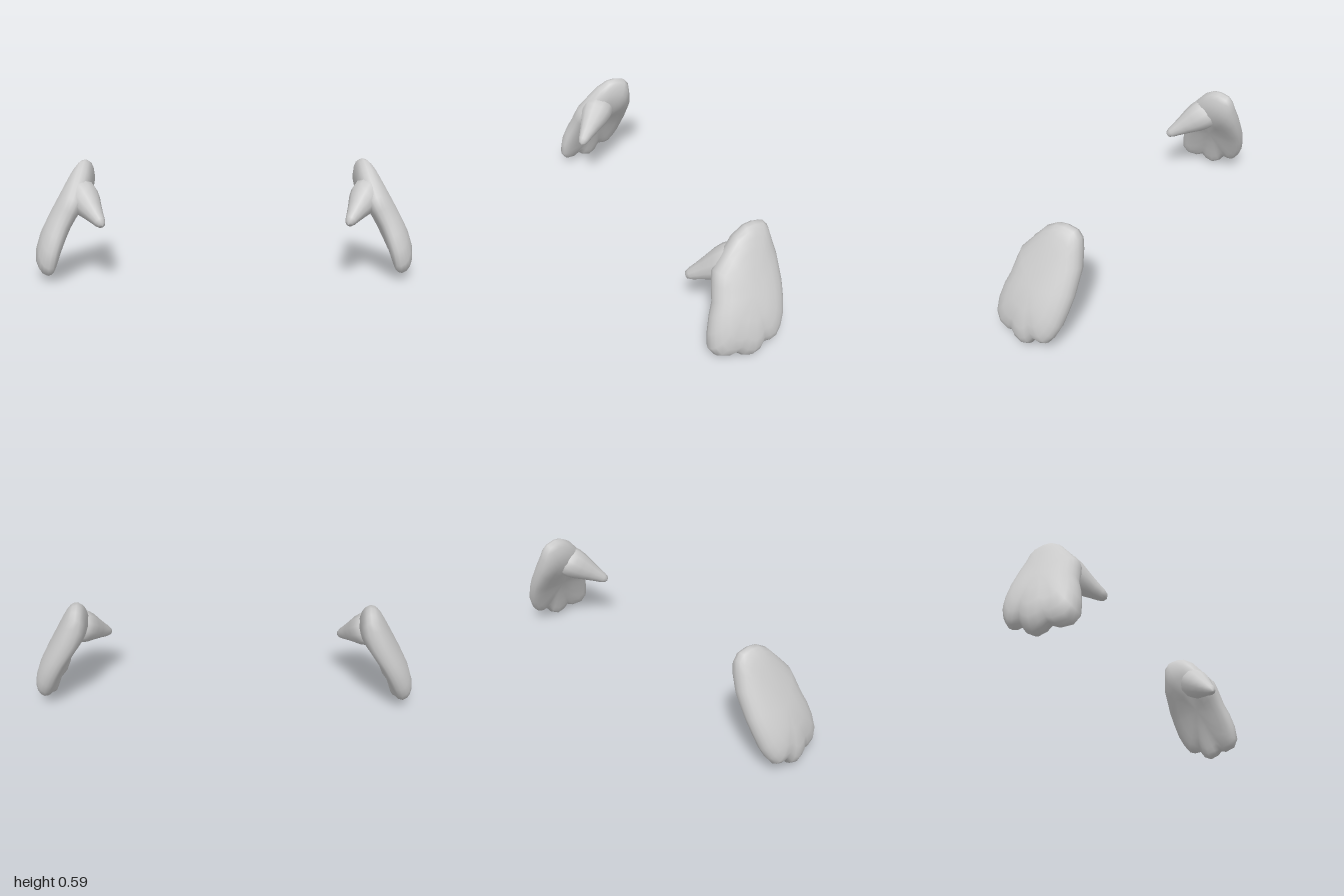
import * as THREE from 'three';
import { mergeVertices } from 'three/addons/utils/BufferGeometryUtils.js';

// Side outline of the mitten as [z, y]: wrist, front edge, three finger lobes, back edge
const OUTLINE = [
  [-0.10, 0.592], [-0.055, 0.588], [0, 0.556], [0.06, 0.49], [0.12, 0.42], [0.137, 0.36],
  [0.152, 0.29], [0.177, 0.23], [0.197, 0.155], [0.203, 0.08], [0.175, 0.037], [0.12, 0.025],
  [0.087, 0.037], [0.06, 0.014], [0.015, 0], [-0.025, 0.02], [-0.053, 0.058], [-0.09, 0.055],
  [-0.12, 0.065], [-0.15, 0.105], [-0.175, 0.16], [-0.19, 0.23], [-0.2, 0.3], [-0.2, 0.42],
  [-0.185, 0.5], [-0.175, 0.55], [-0.15, 0.58],
];
const CENTRE = [-0.01, 0.3];
const bump = (v, centre, width) => Math.exp(-(((v - centre) / width) ** 2));

// Padded, curved hand: outline rings shrink towards the centre on both faces
function handGeometry() {
  const scales = [0, 0.35, 0.62, 0.8, 0.91, 0.97, 1];
  const rings = [
    ...scales.map((s) => [s, 1]),
    ...scales.slice(0, -1).reverse().map((s) => [s, -1]),
  ];
  const n = OUTLINE.length;
  const positions = [];
  const index = [];
  rings.forEach(([s, side], k) => {
    OUTLINE.forEach(([oz, oy], i) => {
      const z = CENTRE[0] + (oz - CENTRE[0]) * s;
      const y = CENTRE[1] + (oy - CENTRE[1]) * s;
      // the hand bends inward at the wrist and fingertips and arches across its width
      const bend = (Math.PI * y) / 0.66;
      const x = 0.955 - 0.115 * (1 - Math.cos(bend)) - 0.8 * (z + 0.05) ** 2
        - 0.02 * Math.exp(-y / 0.06);
      const slope = 0.547 * Math.sin(bend);
      // grooves between the fingers, thicker heel of the thumb on the palm side
      const groove = 1 - 0.25 * bump(y, 0.03, 0.1) * (bump(z, -0.055, 0.025) + bump(z, 0.09, 0.025));
      const heel = side < 0 ? 1 + 0.45 * bump(y, 0.47, 0.1) : 1;
      const thick = (0.067 - 0.015 * y) * groove * heel;
      const t = (side * thick * Math.sqrt(1 - s ** 4)) / Math.hypot(1, slope);
      positions.push(x + t, y + t * slope, z);
      if (k < rings.length - 1) {
        const a = k * n + i;
        const an = k * n + ((i + 1) % n);
        const last = k === rings.length - 2;
        index.push(a, a + n, last ? an : an + n);
        if (k > 0 && !last) index.push(a, an + n, an);
      }
    });
  });
  let geo = new THREE.BufferGeometry();
  geo.setAttribute('position', new THREE.Float32BufferAttribute(positions, 3));
  geo.setIndex(index);
  geo = mergeVertices(geo, 1e-5);
  geo.computeVertexNormals();
  return geo;
}

// Thumb: a flared, tapering cone from inside the palm to a rounded tip
function thumbGeometry() {
  const base = new THREE.Vector3(0.775, 0.45, -0.03);
  const tip = new THREE.Vector3(0.618, 0.292, 0.175);
  const axis = tip.clone().sub(base);
  const len = axis.length();
  const profile = [
    [0.06, 0], [0.085, 0.12], [0.086, 0.25], [0.077, 0.4], [0.056, 0.6], [0.039, 0.78],
    [0.029, 0.9], [0.019, 0.97], [0, 1],
  ].map(([r, t]) => new THREE.Vector2(r, t * len));
  const geo = new THREE.LatheGeometry(profile, 12);
  geo.applyQuaternion(new THREE.Quaternion().setFromUnitVectors(
    new THREE.Vector3(0, 1, 0), axis.normalize()));
  geo.translate(base.x, base.y, base.z);
  return geo;
}

// Mirror across x, keeping faces outward
function mirrored(source) {
  const geo = source.clone();
  const { position, normal } = geo.attributes;
  for (let i = 0; i < position.count; i++) {
    position.setX(i, -position.getX(i));
    normal.setX(i, -normal.getX(i));
  }
  const idx = geo.index;
  for (let i = 0; i < idx.count; i += 3) {
    const b = idx.getX(i + 1);
    idx.setX(i + 1, idx.getX(i + 2));
    idx.setX(i + 2, b);
  }
  return geo;
}

export function createModel() {
  const material = new THREE.MeshStandardMaterial({ color: 0xcccccc });
  const model = new THREE.Group();
  model.name = 'mittenHands';
  const parts = { palmAndFingers: handGeometry(), thumb: thumbGeometry() };

  for (const side of ['left', 'right']) {
    const hand = new THREE.Group();
    hand.name = `${side}Hand`;
    for (const [name, geo] of Object.entries(parts)) {
      const mesh = new THREE.Mesh(side === 'left' ? geo : mirrored(geo), material);
      mesh.name = name;
      hand.add(mesh);
    }
    model.add(hand);
  }
  return model;
}
